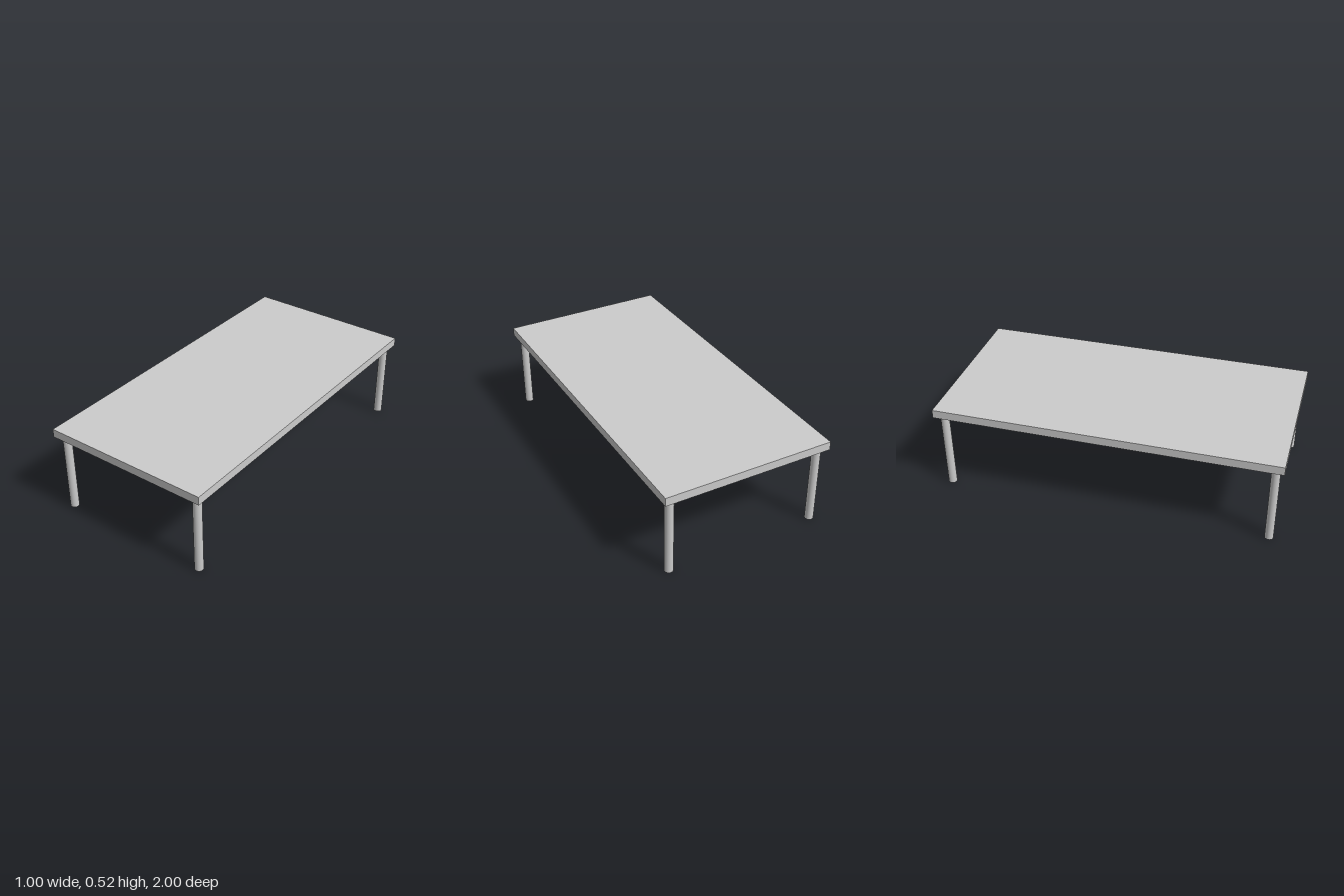
import * as THREE from 'three';

export function createModel() {
  const model = new THREE.Group();
  model.name = 'table';
  const material = new THREE.MeshStandardMaterial({ color: 0xcccccc });

  const topThickness = 0.05;
  const legHeight = 0.475;
  const legRadius = 0.025;

  // Flat rectangular slab resting on the legs
  const top = new THREE.Mesh(new THREE.BoxGeometry(1, topThickness, 2), material);
  top.name = 'tableTop';
  top.position.y = legHeight + topThickness / 2;
  model.add(top);

  // Four round legs, set in slightly from the corners
  const legGeometry = new THREE.CylinderGeometry(legRadius, legRadius, legHeight, 32);
  for (const [endName, z] of [['front', 0.95], ['back', -0.95]]) {
    for (const [sideName, x] of [['Left', 0.45], ['Right', -0.45]]) {
      const leg = new THREE.Mesh(legGeometry, material);
      leg.name = `${endName}${sideName}Leg`;
      leg.position.set(x, legHeight / 2, z);
      model.add(leg);
    }
  }

  return model;
}
